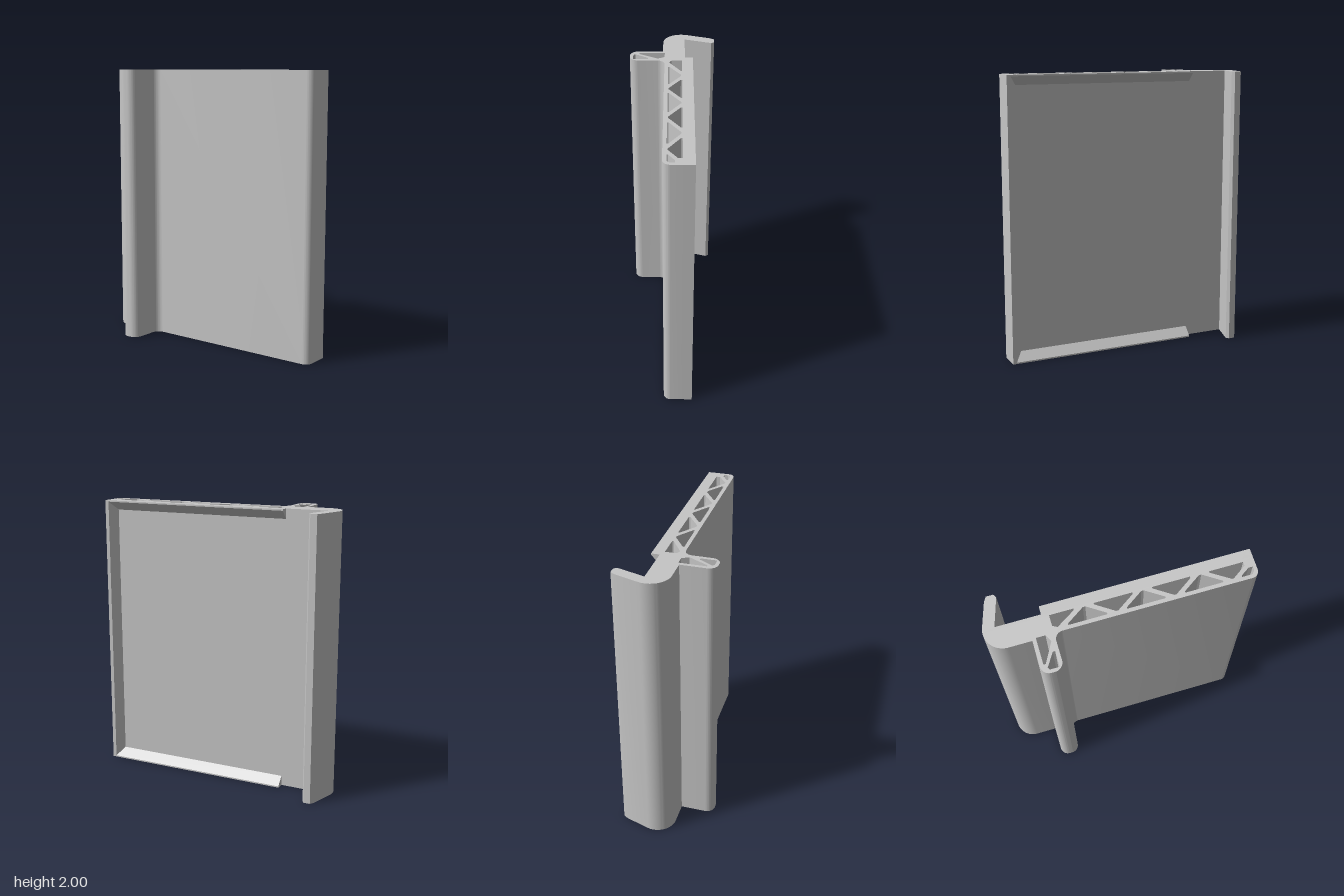
import * as THREE from 'three';
import { toCreasedNormals } from 'three/addons/utils/BufferGeometryUtils.js';

const HEIGHT = 2;
const FLOOR = -0.09, RIM = -0.147; // recessed back face and its raised border

const polygon = (pts) => new THREE.Shape(pts.map(([x, y]) => new THREE.Vector2(x, y)));

// Plan shape (x, z) extruded upright over the full height
function upright(shape) {
  const g = new THREE.ExtrudeGeometry(shape, { depth: HEIGHT, bevelEnabled: false, curveSegments: 12 });
  g.rotateX(Math.PI / 2).translate(0, HEIGHT, 0);
  return toCreasedNormals(g, 0.5);
}

function profileShape() {
  const s = new THREE.Shape();
  // hook with a bevelled tip
  s.moveTo(-0.81, FLOOR);
  s.lineTo(-0.75, -0.285);
  s.lineTo(-0.765, -0.307);
  s.lineTo(-0.812, -0.307);
  s.lineTo(-0.832, -0.275);
  s.lineTo(-0.887, -0.101);
  s.absarc(-0.76, -0.065, 0.132, Math.PI + 0.28, Math.PI / 2, true);
  // hollow post
  s.lineTo(-0.607, 0.067);
  s.lineTo(-0.607, 0.243);
  s.absarc(-0.547, 0.243, 0.06, Math.PI, Math.PI / 2, true);
  s.lineTo(-0.525, 0.303);
  s.absarc(-0.525, 0.243, 0.06, Math.PI / 2, 0, true);
  s.lineTo(-0.465, 0.109);
  s.absarc(-0.41, 0.109, 0.055, Math.PI, Math.PI * 1.5, false);
  // panel
  s.lineTo(0.842, 0.054);
  s.absarc(0.842, 0.004, 0.05, Math.PI / 2, 0, true);
  s.lineTo(0.892, FLOOR);
  s.closePath();

  // holes run counter-clockwise so that their walls face inwards
  const hole = (corners) => {
    const pts = corners.map(([x, y]) => new THREE.Vector2(x, y));
    if (THREE.ShapeUtils.isClockWise(pts)) pts.reverse();
    s.holes.push(new THREE.Path(pts));
  };
  const top = -0.07, bottom = 0.028, pitch = 0.1915;
  // truss triangles, alternately pointing back and front
  for (let k = 0; k < 6; k++) {
    const x = -0.238 + pitch * k;
    const [base, tip, dir] = k % 2 ? [top, 0.022, 1] : [bottom, -0.063, -1];
    if (k === 5) {
      hole([[0.59, top], [0.82, top], [0.82, -0.043], [x + 0.006, tip], [x - 0.006, tip], [0.59, top + 0.01]]);
    } else {
      hole([[x - 0.127, base], [x + 0.127, base], [x + 0.127, base + dir * 0.01],
        [x + 0.008, tip], [x - 0.008, tip], [x - 0.127, base + dir * 0.01]]);
    }
  }
  // end cells of the truss
  hole([[-0.464, top], [-0.305, top], [-0.305, -0.06], [-0.433, 0.022], [-0.464, 0.005]]);
  hole([[0.78, bottom], [0.78, 0.018], [0.84, -0.022], [0.868, -0.022], [0.868, 0.007], [0.85, bottom]]);
  // post cells
  hole([[-0.582, 0.054], [-0.52, 0.054], [-0.495, 0.102], [-0.567, 0.237], [-0.582, 0.237]]);
  hole([[-0.49, 0.172], [-0.49, 0.279], [-0.552, 0.279], [-0.562, 0.264], [-0.505, 0.172]]);
  return s;
}

export function createModel() {
  const model = new THREE.Group();
  const grey = new THREE.MeshStandardMaterial({ color: 0xc6c6c6 });
  grey.name = 'light grey';
  const add = (name, geometry) => {
    const mesh = new THREE.Mesh(geometry, grey);
    mesh.name = name;
    model.add(mesh);
  };

  add('hollowProfile', upright(profileShape()));

  // side border of the recess, sloping down to the floor
  add('sideRim', upright(polygon([[0.892, FLOOR], [0.892, RIM], [0.865, RIM], [0.815, FLOOR]])));

  // sloped borders along the top and bottom ends
  for (const [name, edge, dir] of [['bottomRim', 0, 1], ['topRim', HEIGHT, -1]]) {
    const corners = [[FLOOR, edge], [RIM, edge], [RIM, edge + dir * 0.01], [FLOOR, edge + dir * 0.07]];
    const g = new THREE.ExtrudeGeometry(polygon(corners), { depth: 1.39, bevelEnabled: false });
    g.rotateY(-Math.PI / 2).translate(0.88, 0, 0);
    add(name, g);
  }
  return model;
}
